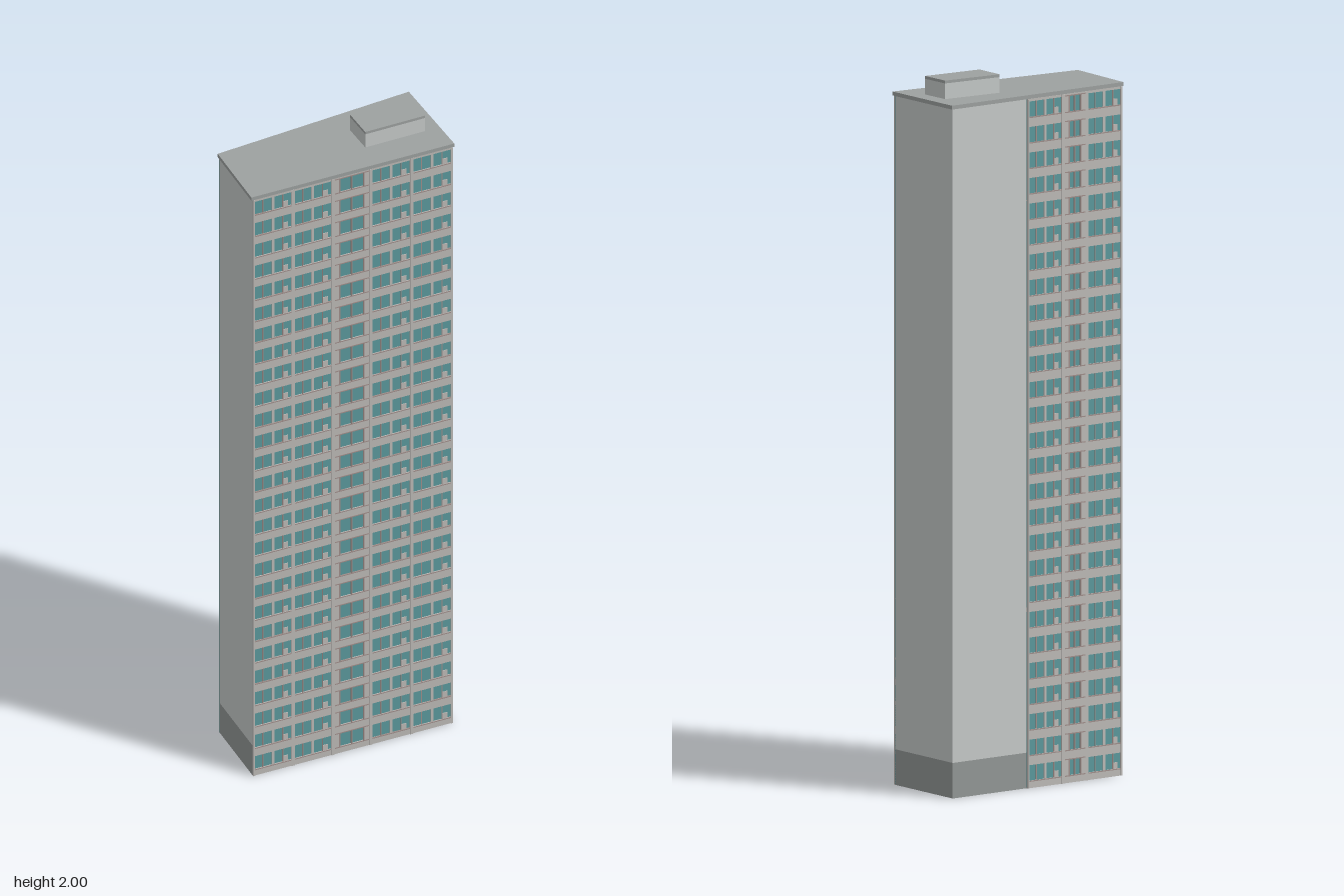
import * as THREE from 'three';
import { mergeGeometries } from 'three/addons/utils/BufferGeometryUtils.js';

const paint = (name, color) => {
  const m = new THREE.MeshStandardMaterial({ color });
  m.name = name;
  return m;
};

export function createModel() {
  const wall = paint('pale grey wall', 0xc6cac9);
  const base = paint('grey plinth', 0x939796);
  const roofGrey = paint('roof grey', 0x9da1a0);
  const concrete = paint('facade concrete', 0xbdbab7);
  const frame = paint('rosy window frame', 0xa08f8b);
  const glass = paint('teal glass', 0x5b999c);
  const model = new THREE.Group();
  model.name = 'towerBlock';

  const FLOORS = 27, TOP = 1.937, STEP = TOP / FLOORS;

  // Upright prism over a plan outline given as [x, z] corners
  function prism(name, plan, y0, y1, material) {
    const shape = new THREE.Shape(plan.map(([x, z]) => new THREE.Vector2(x, -z)));
    const g = new THREE.ExtrudeGeometry(shape, { depth: y1 - y0, bevelEnabled: false });
    g.rotateX(-Math.PI / 2).translate(0, y0, 0);
    const mesh = new THREE.Mesh(g, material);
    mesh.name = name;
    model.add(mesh);
  }

  // Plan corners: back, right, front, left
  const A = [0.053, -0.325], B = [0.272, -0.163], C = [-0.102, 0.319], D = [-0.274, 0.178];
  prism('plinth', [A, B, C, D], 0, 0.1, base);
  prism('tower', [A, B, C, D], 0.1, TOP, wall);
  prism('roofSlab', [[0.053, -0.331], [0.28, -0.163], [-0.101, 0.327], [-0.281, 0.179]], TOP, 1.948, roofGrey);

  // Lift housing on the roof
  const housing = [[0.104, -0.235], [0.18, -0.18], [0.069, -0.034], [-0.008, -0.091]];
  prism('liftHousing', housing, 1.945, 1.992, wall);
  prism('liftHousingRoof', housing, 1.992, 2, roofGrey);

  // Window front running from plan point p to q (left to right seen from outside).
  // bays: [start, end, kind] as fractions of the length
  function facade(name, p, q, bays) {
    const group = new THREE.Group();
    group.name = name;
    const dx = q[0] - p[0], dz = q[1] - p[1], len = Math.hypot(dx, dz);
    group.position.set(p[0], 0, p[1]);
    group.rotation.y = Math.atan2(-dz, dx);
    const parts = new Map([[glass, []], [concrete, []], [frame, []]]);
    const box = (material, x0, x1, y0, y1, depth) => {
      const g = new THREE.BoxGeometry(x1 - x0, y1 - y0, depth);
      parts.get(material).push(g.translate((x0 + x1) / 2, (y0 + y1) / 2, depth / 2));
    };

    box(glass, 0, len, 0.002, TOP, 0.002);
    // Spandrel bands between the window rows
    for (let i = 0; i <= FLOORS; i++) {
      const y = i * STEP;
      box(concrete, 0, len, Math.max(0, y - 0.007), Math.min(TOP, y + 0.021), 0.005);
    }
    for (const [s, e, kind] of bays) {
      const x0 = s * len, x1 = e * len, w = x1 - x0;
      // Piers at both edges of the bay
      for (const x of [x0, x1 - 0.005]) box(concrete, x, x + 0.005, 0, TOP, 0.007);
      for (let i = 0; i < FLOORS; i++) {
        const y0 = i * STEP + 0.021, y1 = (i + 1) * STEP - 0.007;
        if (kind === 'stair') {
          // Framed pair of windows with broad cheeks
          for (const x of [x0 + 0.005, x1 - 0.019]) box(concrete, x, x + 0.014, y0, y1, 0.005);
          for (const x of [x0 + 0.019, x0 + w / 2 - 0.002, x1 - 0.023]) box(frame, x, x + 0.004, y0, y1, 0.006);
          for (const y of [y0 - 0.003, y1]) box(frame, x0 + 0.005, x1 - 0.005, y, y + 0.003, 0.006);
        } else {
          // Sill, mullions and a low panel beside the balcony door
          box(frame, x0 + 0.005, x1 - 0.005, y0 - 0.003, y0, 0.006);
          for (const f of [0.25, 0.75]) box(frame, x0 + f * w - 0.0015, x0 + f * w + 0.0015, y0, y1, 0.004);
          box(concrete, x0 + w / 2 - 0.004, x0 + w / 2 + 0.004, y0, y1, 0.005);
          box(concrete, x0 + 0.76 * w, x0 + 0.88 * w, y0, y0 + 0.018, 0.004);
        }
      }
    }
    const names = new Map([[glass, 'Glazing'], [concrete, 'Concrete'], [frame, 'WindowFrames']]);
    for (const [material, list] of parts) {
      const mesh = new THREE.Mesh(mergeGeometries(list), material);
      mesh.name = name + names.get(material);
      group.add(mesh);
    }
    model.add(group);
  }

  // Full-width front facing the right, shorter one on the far side
  facade('mainFacade', C, B, [
    [0, 0.2, 'flat'], [0.2, 0.4, 'flat'], [0.4, 0.59, 'stair'], [0.59, 0.795, 'flat'], [0.795, 1, 'flat'],
  ]);
  const start = [A[0] + 0.44 * (D[0] - A[0]), A[1] + 0.44 * (D[1] - A[1])];
  facade('rearFacade', start, D, [
    [0, 0.375, 'flat'], [0.375, 0.625, 'stair'], [0.625, 1, 'flat'],
  ]);
  return model;
}
